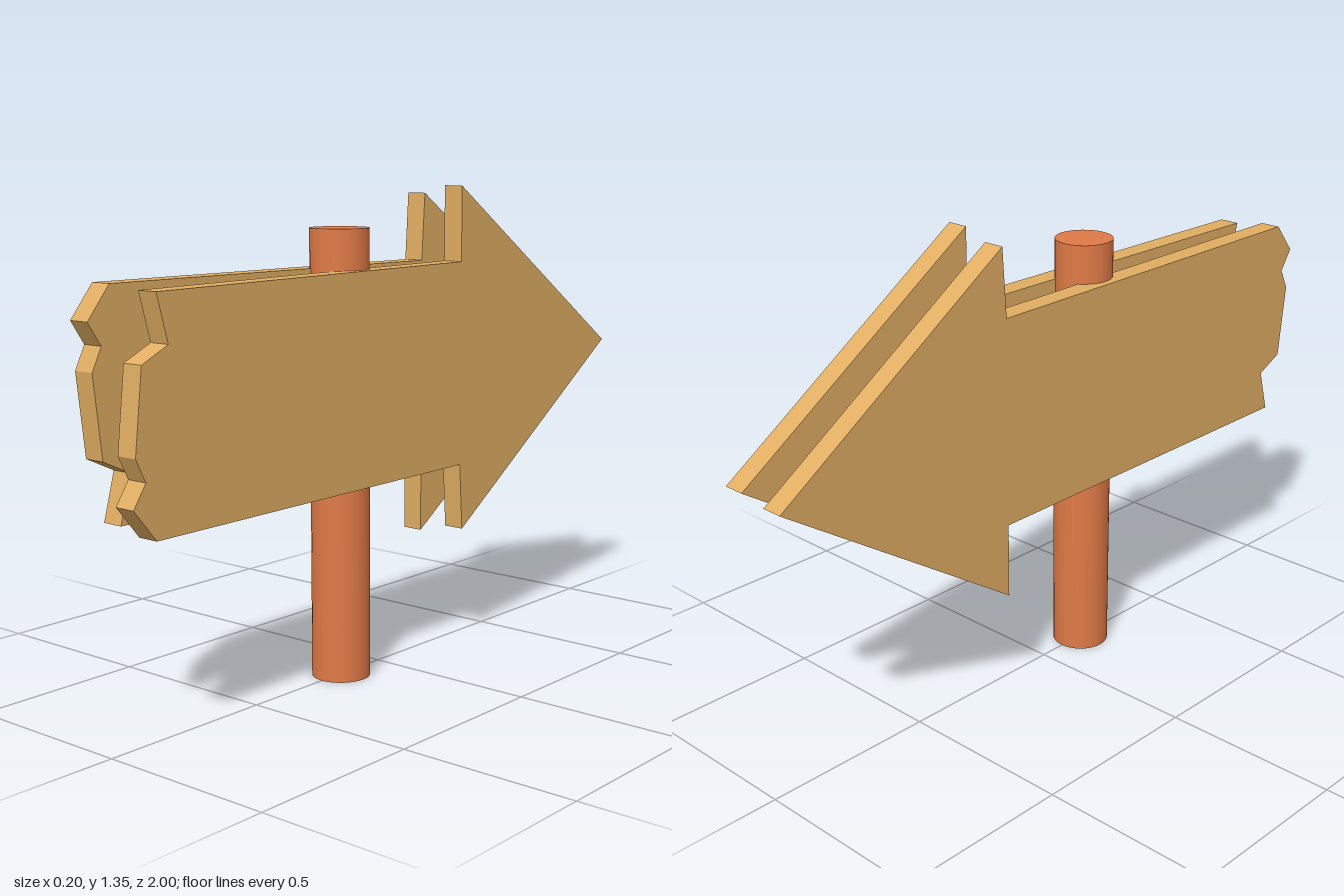
import * as THREE from 'three';

export function createModel() {
  const model = new THREE.Group();
  model.name = 'arrowSignpost';

  const plankWood = new THREE.MeshStandardMaterial({ color: 0xe0ad62 });
  plankWood.name = 'plank wood';
  const postWood = new THREE.MeshStandardMaterial({ color: 0xdf7a46 });
  postWood.name = 'post wood';

  // Round post
  const height = 1.24;
  const post = new THREE.Mesh(new THREE.CylinderGeometry(0.081, 0.081, height, 32), postWood);
  post.name = 'post';
  post.position.set(0, height / 2, 0.16);
  model.add(post);

  // Arrow outline as [z, y]: splintered front end, pointed back end
  const outline = [
    [0.93, 0.54], [1.0, 0.625], [0.96, 0.685], [0.99, 0.745], [0.965, 0.96], [0.88, 1.0], [0.915, 1.125],
    [-0.247, 1.132], [-0.247, 1.345], [-1.0, 0.845], [-0.26, 0.355], [-0.247, 0.547],
  ];
  const midY = 0.8385;
  const shape = new THREE.Shape(outline.map(([z, y]) => new THREE.Vector2(z, y - midY)));
  const plankGeometry = new THREE.ExtrudeGeometry(shape, { depth: 0.061, bevelEnabled: false });
  plankGeometry.rotateY(-Math.PI / 2).translate(0.102, 0, 0);

  // Two arrow planks, the right one being the left one turned upside down
  for (const [name, turn] of [['leftArrowPlank', 0], ['rightArrowPlank', Math.PI]]) {
    const plank = new THREE.Mesh(plankGeometry, plankWood);
    plank.name = name;
    plank.position.y = midY;
    plank.rotation.z = turn;
    model.add(plank);
  }

  return model;
}
